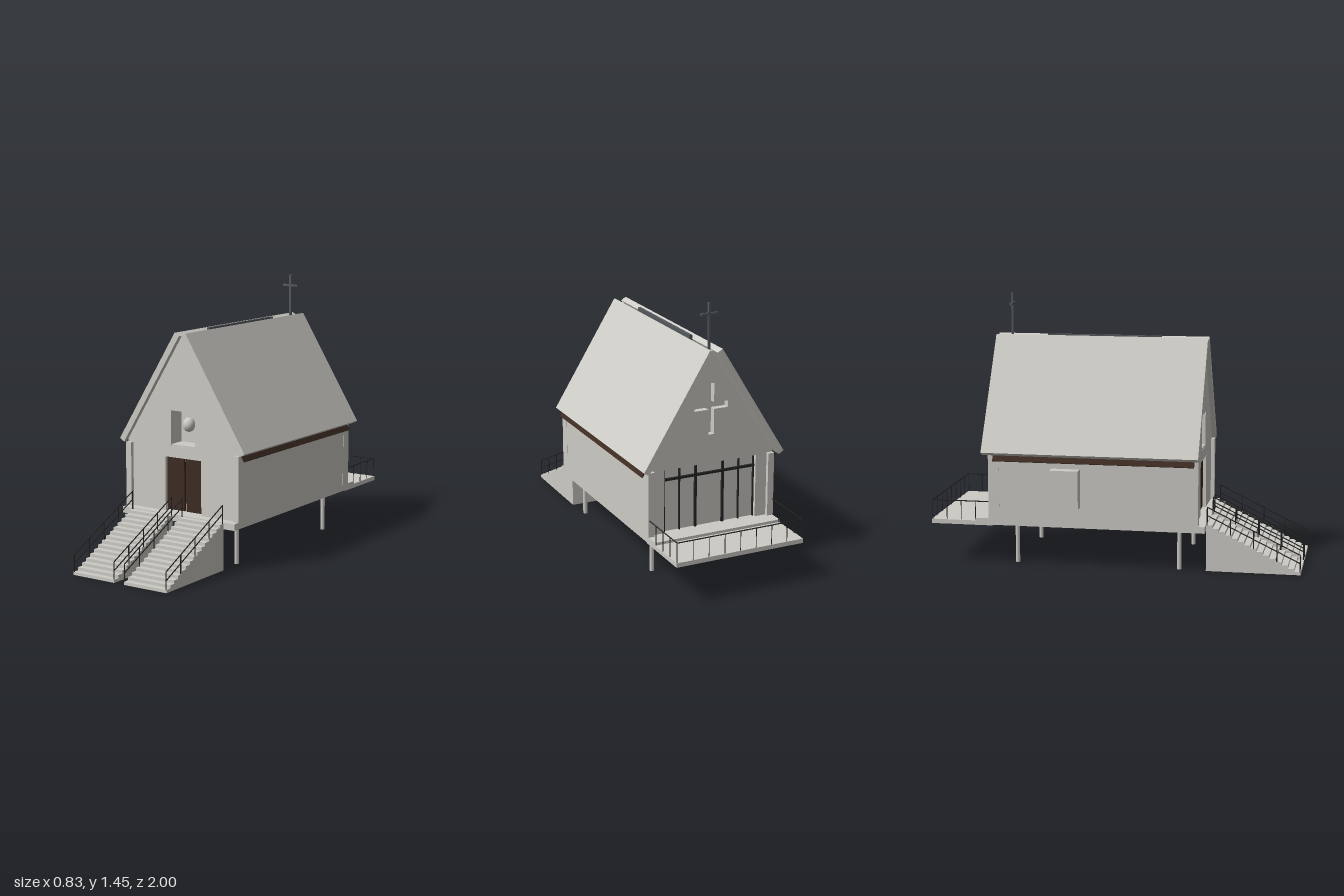
import * as THREE from 'three';

const concrete = new THREE.MeshStandardMaterial({ color: 0xcdcbc5 });
concrete.name = 'concrete';
const brown = new THREE.MeshStandardMaterial({ color: 0x3d2c22 });
brown.name = 'dark wood';
const steel = new THREE.MeshStandardMaterial({ color: 0x55595d });
steel.name = 'steel';
const black = new THREE.MeshStandardMaterial({ color: 0x242424 });
black.name = 'black metal';

export function createModel() {
  const model = new THREE.Group();
  model.name = 'chapel';
  // everything is laid out symmetrically about the nave axis
  const body = new THREE.Group();
  body.name = 'building';
  body.position.x = 0.008;
  model.add(body);

  const add = (name, geo, mat) => {
    const m = new THREE.Mesh(geo, mat);
    m.name = name;
    body.add(m);
    return m;
  };
  // box from its min and max corners
  const box = (name, mat, x0, x1, y0, y1, z0, z1) => {
    const m = add(name, new THREE.BoxGeometry(x1 - x0, y1 - y0, z1 - z0), mat);
    m.position.set((x0 + x1) / 2, (y0 + y1) / 2, (z0 + z1) / 2);
    return m;
  };
  // thin round bar between two points
  const bar = (name, mat, a, b, r = 0.003) => {
    const p = new THREE.Vector3(...a), q = new THREE.Vector3(...b);
    const m = add(name, new THREE.CylinderGeometry(r, r, p.distanceTo(q), 6), mat);
    m.position.copy(p).add(q).multiplyScalar(0.5);
    m.quaternion.setFromUnitVectors(new THREE.Vector3(0, 1, 0), q.sub(p).normalize());
    return m;
  };
  const poly = (pts, Type = THREE.Shape) => new Type(pts.map(p => new THREE.Vector2(...p)));
  // extrude a front-facing outline from z0 to z1
  const slab = (name, mat, shape, z0, z1) => {
    const m = add(name, new THREE.ExtrudeGeometry(shape, { depth: z1 - z0, bevelEnabled: false }), mat);
    m.position.z = z0;
    return m;
  };
  // gable wall outline with an opening rising from the floor
  const gable = (w, h) => poly([
    [-0.362, 0.255], [-w, 0.255], [-w, h], [w, h], [w, 0.255], [0.362, 0.255],
    [0.362, 0.622], [0.006, 1.2], [-0.006, 1.2], [-0.362, 0.622],
  ]);

  // floor slabs and columns
  box('floorSlab', concrete, -0.363, 0.363, 0.22, 0.255, -0.755, 0.495);
  box('balconySlab', concrete, -0.363, 0.363, 0.216, 0.24, -1, -0.66);
  for (const x of [-0.28, 0.28]) for (const z of [0.35, -0.54]) {
    bar('column', concrete, [x, 0, z], [x, 0.22, z], 0.012);
  }

  // front wall with doorway and niche
  const front = gable(0.116, 0.55);
  front.holes.push(poly([[-0.078, 0.61], [-0.078, 0.802], [0.078, 0.802], [0.078, 0.61]], THREE.Path));
  slab('frontWall', concrete, front, 0.405, 0.44);
  box('nicheBack', concrete, -0.085, 0.085, 0.6, 0.81, 0.335, 0.345);
  box('nicheSill', concrete, -0.078, 0.078, 0.6, 0.62, 0.345, 0.438);
  for (const s of [-1, 1]) {
    box('nicheSide', concrete, s * 0.0815 - 0.0035, s * 0.0815 + 0.0035, 0.6, 0.81, 0.345, 0.406);
  }
  const bell = add('nicheOrb', new THREE.SphereGeometry(0.033, 24, 16), concrete);
  bell.scale.y = 1.18;
  bell.position.set(0, 0.725, 0.385);

  // back wall with wide window opening and cross-shaped recess
  const back = gable(0.266, 0.6);
  back.holes.push(poly([
    [-0.016, 0.755], [0.016, 0.755], [0.016, 0.89], [0.095, 0.89], [0.095, 0.925], [0.016, 0.925],
    [0.016, 1.03], [-0.016, 1.03], [-0.016, 0.925], [-0.095, 0.925], [-0.095, 0.89], [-0.016, 0.89],
  ], THREE.Path));
  slab('backWall', concrete, back, -0.66, -0.625);
  box('crossRecessBack', concrete, -0.11, 0.11, 0.74, 1.0, -0.625, -0.618);
  box('crossRecessTop', concrete, -0.03, 0.03, 1.0, 1.045, -0.625, -0.618);

  // rear glazing and its frame
  const glazing = add('rearGlazing', new THREE.PlaneGeometry(0.532, 0.345), concrete);
  glazing.rotation.y = Math.PI;
  glazing.position.set(0, 0.4275, -0.635);
  for (const x of [-0.26, -0.172, -0.079, 0.079, 0.172, 0.26]) {
    const w = Math.abs(x) < 0.1 ? 0.006 : 0.003;
    box('mullion', black, x - w, x + w, 0.255, 0.6, -0.648, -0.636);
  }
  box('transom', black, -0.266, 0.266, 0.535, 0.547, -0.65, -0.636);

  // parts mirrored left and right
  for (const s of [-1, 1]) {
    const mx = (name, mat, a, b, ...r) => box(name, mat, Math.min(s * a, s * b), Math.max(s * a, s * b), ...r);
    mx('sideWall', concrete, 0.335, 0.364, 0.255, 0.61, -0.63, 0.41);
    mx('frontPilaster', concrete, 0.33, 0.365, 0.255, 0.605, 0.4, 0.46);
    mx('backPilaster', concrete, 0.33, 0.365, 0.255, 0.605, -0.68, -0.62);
    mx('doorLeaf', brown, 0.006, 0.116, 0.26, 0.55, 0.408, 0.422);

    // roof panel and slanted eave board
    const mirror = pts => poly(pts.map(([x, y]) => [s * x, y]));
    slab('roofPanel', concrete, mirror([[0.007, 1.203], [0.375, 0.605], [0.403, 0.622], [0.035, 1.22]]), -0.71, 0.463);
    slab('eaveBoard', brown, mirror([[0.362, 0.612], [0.384, 0.574], [0.389, 0.577], [0.368, 0.615]]), -0.65, 0.44);

    // stair flight of solid steps
    const n = 15;
    for (let i = 0; i < n; i++) {
      const z = 1 - i * 0.505 / n;
      mx('stairStep', concrete, 0.031, 0.296, 0, (i + 1) * 0.25 / n, z - 0.505 / n, z);
    }
    // stair railings on both edges of the flight
    for (const e of [0.034, 0.293]) {
      const x = s * e;
      for (const h of [0.063, 0.108]) bar('stairRail', black, [x, h, 0.997], [x, h + 0.24, 0.5]);
      for (let i = 0; i <= 4; i++) {
        const t = i / 4, z = 0.997 - 0.497 * t;
        bar('stairPost', black, [x, 0.01 + 0.23 * t, z], [x, 0.108 + 0.24 * t, z]);
      }
    }

    // balcony side railing
    bar('balconySideRail', black, [s * 0.358, 0.346, -0.68], [s * 0.358, 0.346, -0.995]);
    for (const z of [-0.755, -0.835, -0.915]) {
      bar('balconyPost', black, [s * 0.358, 0.24, z], [s * 0.358, 0.346, z], 0.002);
    }
  }

  // balcony back railing
  bar('balconyBackRail', black, [-0.358, 0.346, -0.995], [0.358, 0.346, -0.995]);
  for (let i = 0; i <= 8; i++) {
    const x = -0.358 + i * 0.0895;
    bar('balconyPost', black, [x, 0.24, -0.995], [x, 0.346, -0.995], 0.002);
  }

  // ridge beam, ridge cap and rooftop cross
  box('ridgeBeam', brown, -0.014, 0.014, 1.13, 1.16, -0.62, 0.34);
  box('ridgeCap', steel, -0.008, 0.008, 1.195, 1.224, -0.425, 0.205);
  box('crossMast', steel, -0.006, 0.006, 1.13, 1.445, -0.632, -0.62);
  box('crossArm', steel, -0.048, 0.048, 1.379, 1.391, -0.632, -0.62);

  // utility cabinet on the right wall
  box('wallCabinet', concrete, -0.423, -0.36, 0.335, 0.542, -0.33, -0.175);

  return model;
}
